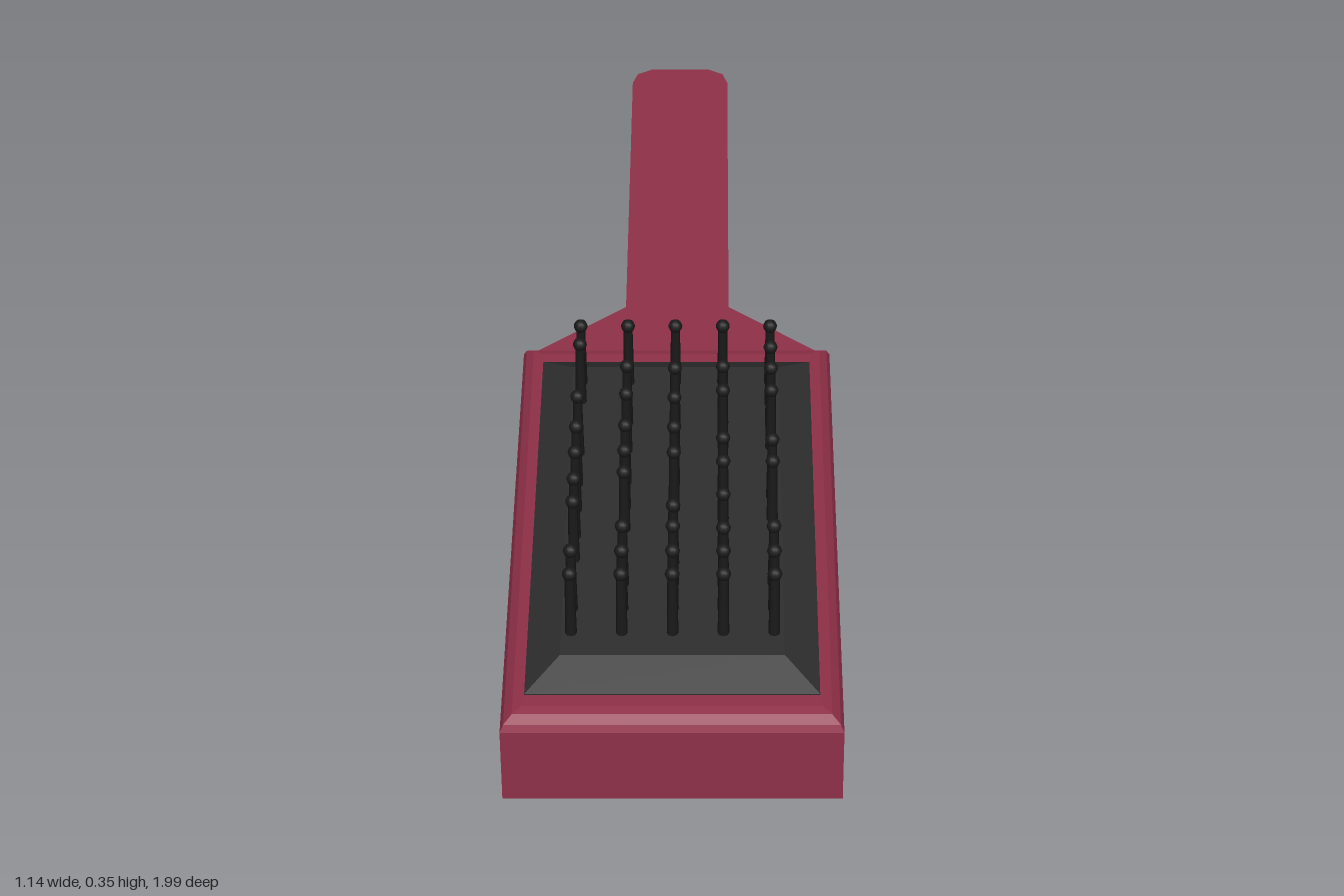
import * as THREE from 'three';

const red = new THREE.MeshStandardMaterial({ color: 0x8f3048 });
const rubber = new THREE.MeshStandardMaterial({ color: 0x2e2e2e });
const black = new THREE.MeshStandardMaterial({ color: 0x1a1a1a });

// Stacked rectangles: levels are [halfWidth, halfLength, y] from bottom to top
function rectLoft(levels) {
  const pos = [], index = [];
  for (const [w, l, y] of levels) pos.push(-w, y, l, w, y, l, w, y, -l, -w, y, -l);
  for (let k = 0; k < levels.length - 1; k++) {
    for (let i = 0; i < 4; i++) {
      const a = k * 4 + i, b = k * 4 + (i + 1) % 4;
      index.push(a, b, b + 4, a, b + 4, a + 4);
    }
  }
  const t = (levels.length - 1) * 4;
  index.push(t, t + 1, t + 2, t, t + 2, t + 3, 0, 2, 1, 0, 3, 2);
  const geo = new THREE.BufferGeometry();
  geo.setAttribute('position', new THREE.Float32BufferAttribute(pos, 3));
  geo.setIndex(index);
  const flat = geo.toNonIndexed();
  flat.computeVertexNormals();
  return flat;
}

function add(parent, name, geometry, material) {
  const mesh = new THREE.Mesh(geometry, material);
  mesh.name = name;
  parent.add(mesh);
  return mesh;
}

export function createModel() {
  const model = new THREE.Group();
  model.name = 'hairbrush';

  // The brush lies diagonally, handle towards the back
  const brush = new THREE.Group();
  brush.name = 'brush';
  brush.position.set(0.102, 0, 0.405);
  brush.rotation.y = 0.409;
  model.add(brush);

  // Head block with a rounded upper edge
  const W = 0.284, L = 0.52;
  const bevel = [[0, 0], [0, 0.147], [0.006, 0.16], [0.02, 0.171], [0.036, 0.175]];
  add(brush, 'head', rectLoft(bevel.map(([d, y]) => [W - d, L - d, y])), red);

  // Tapered neck and straight handle with a rounded end
  const half = [[W, 0.515], [0.097, 0.675], [0.097, 1.455], [0.087, 1.488], [0.057, 1.506]];
  const outline = [...half, ...half.map(([x, y]) => [-x, y]).reverse()];
  const shape = new THREE.Shape(outline.map(([x, y]) => new THREE.Vector2(x, y)));
  const handle = new THREE.ExtrudeGeometry(shape, { depth: 0.143, bevelEnabled: false });
  handle.rotateX(-Math.PI / 2);
  add(brush, 'handle', handle, red);

  // Sloped rubber cushion
  add(brush, 'cushion', rectLoft([[0.245, 0.457, 0.17], [0.245, 0.457, 0.177], [0.187, 0.397, 0.21]]), rubber);

  // Ball-tipped bristles in five uneven columns, distances measured from the back row
  const columns = [
    [0, 0.055, 0.208, 0.294, 0.365, 0.438, 0.5, 0.63, 0.69],
    [0, 0.12, 0.2, 0.29, 0.36, 0.42, 0.565, 0.63, 0.69],
    [0, 0.125, 0.21, 0.294, 0.365, 0.51, 0.565, 0.63, 0.69],
    [0, 0.12, 0.19, 0.325, 0.39, 0.48, 0.57, 0.63, 0.69],
    [0, 0.063, 0.125, 0.19, 0.33, 0.39, 0.565, 0.63, 0.69],
  ];
  const stem = new THREE.CylinderGeometry(0.008, 0.01, 0.135, 8);
  const tip = new THREE.SphereGeometry(0.0125, 10, 8);
  const bristles = new THREE.Group();
  bristles.name = 'bristles';
  brush.add(bristles);
  columns.forEach((column, c) => {
    for (const d of column) {
      const x = (c - 2) * 0.085, z = d - 0.35;
      add(bristles, 'bristleStem', stem, black).position.set(x, 0.27, z);
      add(bristles, 'bristleTip', tip, black).position.set(x, 0.338, z);
    }
  });

  return model;
}
